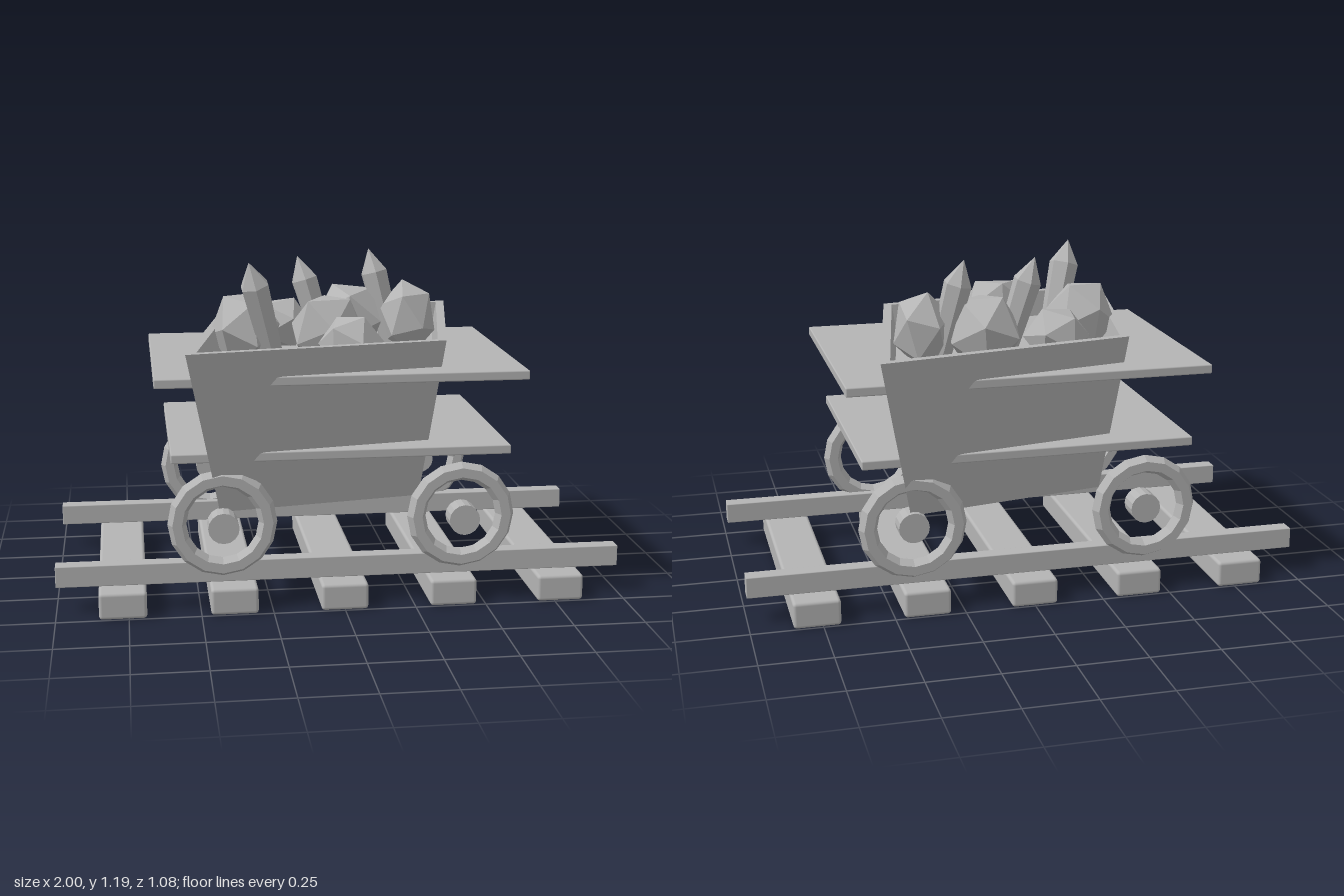
import * as THREE from 'three';
import { RoundedBoxGeometry } from 'three/addons/geometries/RoundedBoxGeometry.js';

const grey = new THREE.MeshStandardMaterial({ color: 0xb4b4b4 });
grey.name = 'plain grey';

// Gives every face its own flat normal
function faceted(geometry) {
  const g = geometry.index ? geometry.toNonIndexed() : geometry;
  g.computeVertexNormals();
  return g;
}

function add(parent, name, geometry, x = 0, y = 0, z = 0) {
  const mesh = new THREE.Mesh(geometry, grey);
  mesh.name = name;
  mesh.position.set(x, y, z);
  parent.add(mesh);
  return mesh;
}

// Open skewed tub: outer wall, rim, inner wall, floor and underside
function tubGeometry() {
  const plan = [[0.542, -0.542], [-0.37, -0.37], [-0.542, 0.535], [0.37, 0.37]];
  const rings = [[0.79, 0.35], [1, 0.925], [0.928, 0.925], [0.735, 0.4]].map(
    ([s, y]) => plan.map(([x, z]) => [x * s, y, z * s]));
  const pos = [];
  const quad = (a, b, c, d) => pos.push(...a, ...b, ...c, ...a, ...c, ...d);
  for (let r = 0; r < 3; r++) {
    for (let i = 0; i < 4; i++) {
      const j = (i + 1) % 4;
      quad(rings[r][i], rings[r][j], rings[r + 1][j], rings[r + 1][i]);
    }
  }
  quad(...rings[3]);
  quad(...[...rings[0]].reverse());
  const g = new THREE.BufferGeometry();
  g.setAttribute('position', new THREE.Float32BufferAttribute(pos, 3));
  return faceted(g);
}

// Six-sided pointed crystal running from base to tip
function addCrystal(parent, base, tip, radius) {
  const a = new THREE.Vector3(...base);
  const axis = new THREE.Vector3(...tip).sub(a);
  const h = axis.length();
  const profile = [[0, 0], [radius * 0.8, 0], [radius, h - 0.09], [0, h]]
    .map(([x, y]) => new THREE.Vector2(x, y));
  const mesh = add(parent, 'crystal', faceted(new THREE.LatheGeometry(profile, 6)), ...base);
  mesh.quaternion.setFromUnitVectors(new THREE.Vector3(0, 1, 0), axis.normalize());
}

// Faceted rock, turned and then fitted to the given size
function addRock(parent, centre, size, turn) {
  const g = new THREE.IcosahedronGeometry(1, 0);
  g.rotateX(turn * 0.7);
  g.rotateY(turn);
  g.rotateZ(turn * 0.4);
  g.computeBoundingBox();
  const span = g.boundingBox.getSize(new THREE.Vector3());
  g.scale(size[0] / span.x, size[1] / span.y, size[2] / span.z);
  add(parent, 'rock', faceted(g), ...centre);
}

export function createModel() {
  const model = new THREE.Group();
  model.name = 'mineCart';

  // Track
  const track = new THREE.Group();
  track.name = 'track';
  model.add(track);
  const sleeper = new RoundedBoxGeometry(0.165, 0.094, 0.996, 2, 0.012);
  for (let i = -2; i <= 2; i++) add(track, 'sleeper', sleeper, i * 0.385, 0.047, 0);
  const rail = new RoundedBoxGeometry(2, 0.075, 0.058, 2, 0.003);
  for (const z of [0.385, -0.385]) add(track, 'rail', rail, 0, 0.132, z);

  // Tub with two broad plates passing through it
  add(model, 'tub', tubGeometry());
  add(model, 'upperPlate', new RoundedBoxGeometry(1.295, 0.033, 0.926, 2, 0.005), 0, 0.813, 0);
  add(model, 'lowerPlate', new RoundedBoxGeometry(1.19, 0.033, 0.86, 2, 0.005), 0, 0.543, 0);

  // Wheels and hubs
  const ring = faceted(new THREE.TorusGeometry(0.158, 0.033, 6, 16).scale(1, 1, 1.14));
  const hub = faceted(new THREE.CylinderGeometry(0.054, 0.054, 0.078, 16).rotateX(Math.PI / 2));
  for (const x of [-0.42, 0.42]) {
    for (const side of [1, -1]) {
      const wheel = new THREE.Group();
      wheel.name = 'wheel';
      wheel.position.set(x, 0.31, side * 0.417);
      model.add(wheel);
      add(wheel, 'wheelRing', ring);
      add(wheel, 'wheelHub', hub, 0, 0, side > 0 ? 0.039 : 0.008);
    }
  }

  // Load of rocks and crystals
  const load = new THREE.Group();
  load.name = 'load';
  model.add(load);
  addRock(load, [-0.155, 0.9, -0.195], [0.24, 0.2, 0.21], 0.4);
  addRock(load, [-0.305, 0.92, 0.01], [0.25, 0.25, 0.25], 1.3);
  addRock(load, [0.1, 0.92, -0.145], [0.26, 0.26, 0.31], 2.2);
  addRock(load, [0.315, 0.93, -0.108], [0.21, 0.28, 0.215], 3.1);
  addRock(load, [-0.012, 0.92, 0.115], [0.255, 0.25, 0.19], 4.3);
  addRock(load, [0.055, 0.9, 0.235], [0.23, 0.19, 0.21], 5.2);
  addCrystal(load, [-0.21, 0.83, 0.08], [-0.3, 1.18, 0.16], 0.055);
  addCrystal(load, [0, 0.83, -0.07], [-0.1, 1.17, -0.1], 0.052);
  addCrystal(load, [0.26, 0.83, -0.13], [0.175, 1.185, -0.165], 0.052);

  return model;
}
